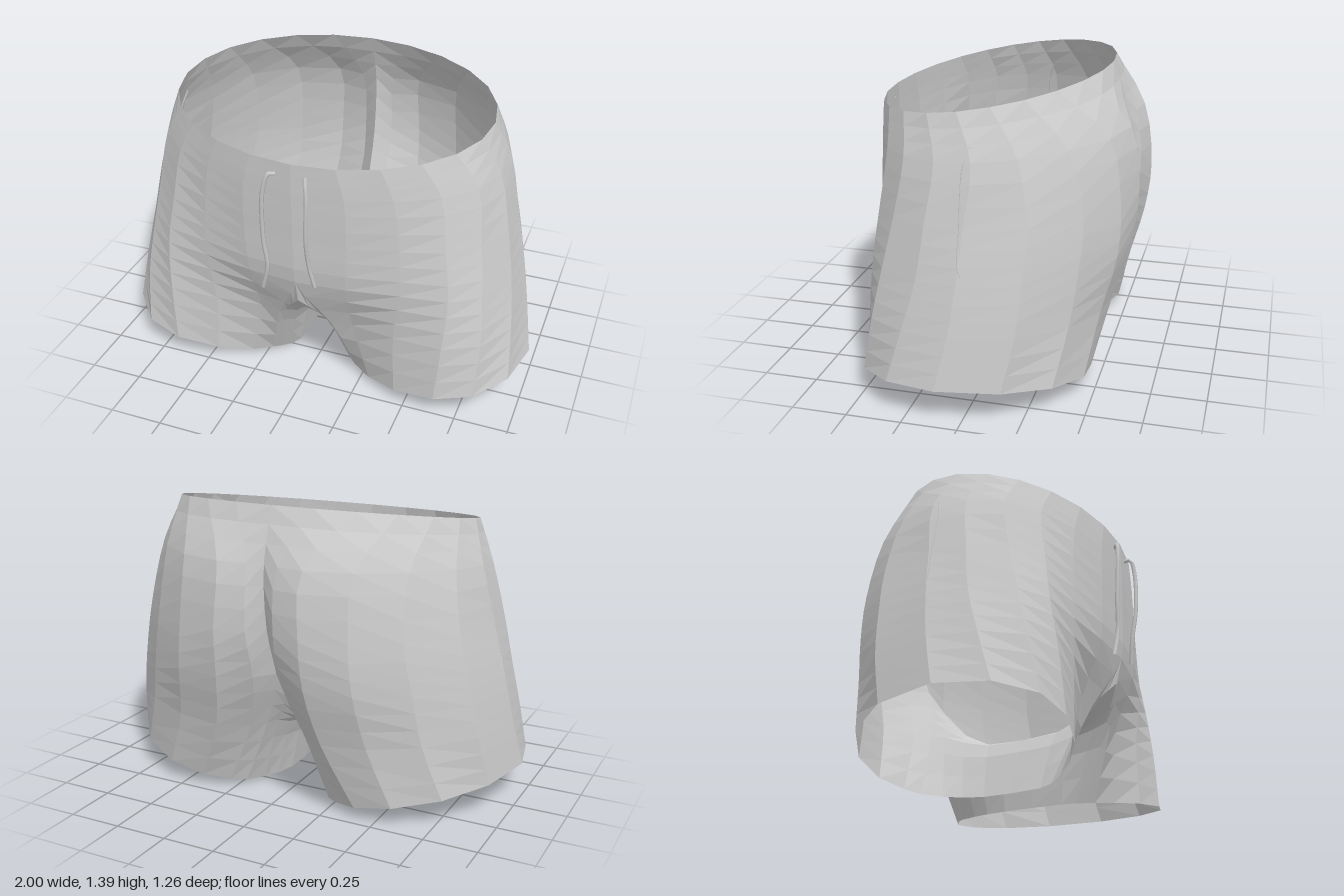
import * as THREE from 'three';

const V = (x, y, z) => new THREE.Vector3(x, y, z);

// Outer sections [x, z], running from the front seam round the hip to the back seam
const upperHip = [[0, .58], [.23, .56], [.43, .5], [.61, .41], [.74, .29], [.8, .14], [.81, -.02],
  [.75, -.2], [.61, -.38], [.42, -.52], [.21, -.58], [.08, -.56], [0, -.535]];
const midHip = [[0, .575], [.24, .555], [.46, .5], [.65, .44], [.78, .33], [.86, .17], [.87, 0],
  [.8, -.25], [.62, -.45], [.42, -.575], [.21, -.625], [.07, -.59], [0, -.52]];
const lowHip = [[0, .56], [.23, .54], [.47, .5], [.68, .47], [.81, .38], [.9, .2], [.92, .02],
  [.85, -.24], [.66, -.44], [.44, -.57], [.22, -.6], [.07, -.53], [0, -.44]];
const thigh = [[.13, .45], [.23, .44], [.44, .48], [.67, .5], [.83, .43], [.93, .26], [.96, .05],
  [.89, -.22], [.7, -.41], [.48, -.51], [.27, -.53], [.14, -.44], [.09, -.37]];
const hem = [[.22, .33], [.3, .4], [.45, .48], [.65, .52], [.82, .48], [.95, .33], [1, .1],
  [.93, -.17], [.78, -.36], [.58, -.46], [.4, -.46], [.28, -.4], [.22, -.35]];

// Inner leg sections from back to front: crotch seam [y, z], inner thigh [x, y, z], hem [x, z]
const crotch = [[.48, -.34], [.36, -.23], [.29, -.1], [.28, .08], [.3, .28], [.4, .44], [.5, .53]];
const innerThigh = [[.07, .34, -.31], [.06, .3, -.21], [.05, .272, -.09], [.05, .27, .07],
  [.055, .28, .25], [.07, .32, .38], [.1, .36, .44]];
const innerHem = [[.17, -.26], [.14, -.18], [.12, -.08], [.12, .06], [.13, .2], [.155, .26], [.19, .3]];

const hemY = x => .17 * (x - .12) / .88;
const SUB = 3; // rows between sections
const OUTER = hem.length;

// Each column is a curve running down from the waist (outer) or crotch (inner) to the hem
function makeColumns() {
  const columns = [];
  for (let i = 0; i < OUTER; i++) {
    const a = Math.PI * i / (OUTER - 1);
    const wz = .06 + .52 * Math.cos(a);
    const at = (section, y) => V(section[i][0], y(...section[i]), section[i][1]);
    columns.push([
      V(.74 * Math.sin(a), 1.23 + .16 * (.58 - wz) / 1.04, wz),
      at(upperHip, (x, z) => 1.12 - .05 * z),
      at(midHip, () => .85),
      at(lowHip, () => .62),
      at(thigh, x => .34 + .06 * x),
      at(hem, hemY),
    ]);
  }
  crotch.forEach(([y, z], j) => columns.push([
    V(0, y, z), V(...innerThigh[j]), V(innerHem[j][0], hemY(innerHem[j][0]), innerHem[j][1]),
  ]));
  return columns.map(keys =>
    new THREE.CatmullRomCurve3(keys).getPoints((keys.length - 1) * SUB));
}

// One half of the shorts: an open hip panel that becomes a closed leg below the crotch
function halfGeometry(columns, side) {
  const pos = [], index = [], ids = [];
  const hipRows = 3 * SUB, rows = 5 * SUB;
  columns.forEach((points, c) => {
    ids[c] = [];
    const start = c < OUTER ? 0 : hipRows;
    points.forEach((p, k) => {
      ids[c][start + k] = pos.length / 3;
      pos.push(side * Math.max(0, p.x), Math.max(0, p.y), p.z);
    });
  });
  const tri = (a, b, c) => side > 0 ? index.push(a, b, c) : index.push(a, c, b);
  for (let r = 0; r < rows; r++) {
    const count = r < hipRows ? OUTER - 1 : columns.length;
    for (let c = 0; c < count; c++) {
      const n = (c + 1) % columns.length;
      tri(ids[c][r], ids[c][r + 1], ids[n][r]);
      tri(ids[n][r], ids[c][r + 1], ids[n][r + 1]);
    }
  }
  const g = new THREE.BufferGeometry();
  g.setAttribute('position', new THREE.Float32BufferAttribute(pos, 3));
  g.setIndex(index);
  g.computeVertexNormals();
  return g;
}

export function createModel() {
  const group = new THREE.Group();
  const cloth = new THREE.MeshStandardMaterial({ color: 0xcccccc, flatShading: true, side: THREE.DoubleSide });
  const cord = new THREE.MeshStandardMaterial({ color: 0xcccccc });
  const add = (name, geometry, material) => {
    const mesh = new THREE.Mesh(geometry, material);
    mesh.name = name;
    group.add(mesh);
  };
  const tube = (points, radius) =>
    new THREE.TubeGeometry(new THREE.CatmullRomCurve3(points.map(p => V(...p))), 24, radius, 6);

  const columns = makeColumns();
  for (const side of [1, -1]) {
    const label = side > 0 ? 'left' : 'right';
    add(label + 'Half', halfGeometry(columns, side), cloth);
    // Thin seam of the side pocket
    add(label + 'PocketSeam', tube([[.785, 1.18, -.012], [.812, 1.1, .012], [.868, .85, .015],
      [.9, .7, .015], [.908, .66, 0]].map(([x, y, z]) => [side * x, y, z]), .004), cord);
  }

  // Drawstrings hanging from the waistband
  add('leftDrawstring', tube([[.065, 1.17, .575], [.075, 1.175, .605], [.085, 1.1, .62],
    [.078, .9, .618], [.08, .75, .592], [.1, .63, .575]], .01), cord);
  add('rightDrawstring', tube([[-.075, 1.17, .575], [-.095, 1.175, .592], [-.12, 1.1, .602],
    [-.132, .85, .592], [-.12, .7, .584], [-.15, .57, .572]], .01), cord);
  return group;
}
